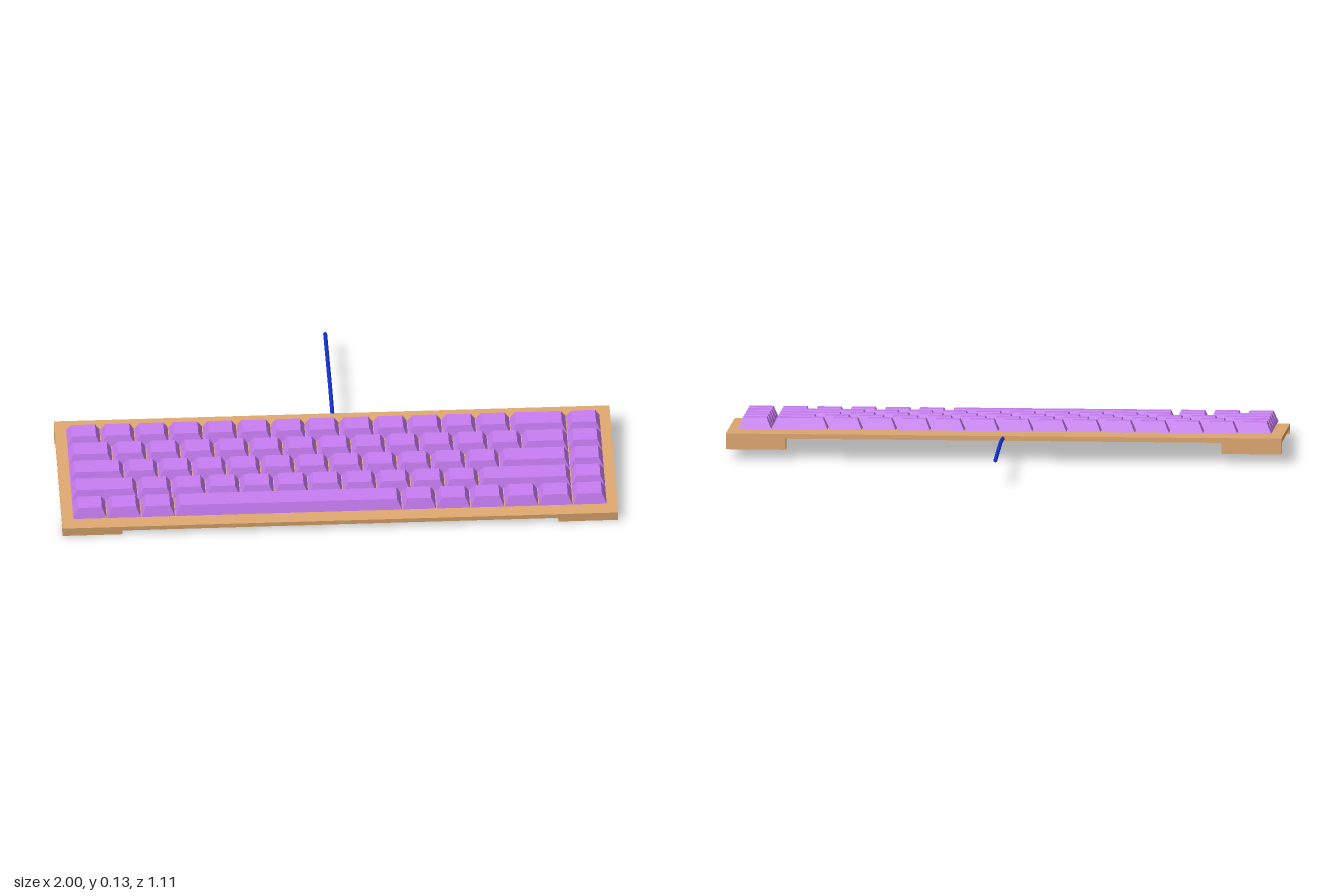
import * as THREE from 'three';

const wood = new THREE.MeshStandardMaterial({ color: 0xdea870 });
const purple = new THREE.MeshStandardMaterial({ color: 0xc67cf0 });
const blue = new THREE.MeshStandardMaterial({ color: 0x1030d0 });

const LENGTH = 0.61, THICK = 0.017;           // base plate, along the slope
const ROW = 0.1018, KEY_H = 0.039, GAP = 0.003;
const LEFT = -0.961, UNIT = 1.923 / 15.65;    // key grid

const ones = n => Array(n).fill(1);
// key widths in units, from the back row to the front row
const ROWS = [
  [...ones(13), 1.65, 1],
  [1.3, ...ones(12), 1.35, 1],
  [1.6, ...ones(11), 2.05, 1],
  [1.95, ...ones(10), 2.7, 1],
  [...ones(3), 6.65, ...ones(6)],
];

function box(name, w, h, d, x, y, z, parent) {
  const mesh = new THREE.Mesh(new THREE.BoxGeometry(w, h, d), wood);
  mesh.name = name;
  mesh.position.set(x, y, z);
  parent.add(mesh);
}

// box whose upper face is drawn in on all sides, more at the back
function keyGeometry(w, d) {
  const geo = new THREE.BoxGeometry(w, KEY_H, d);
  const p = geo.attributes.position;
  for (let i = 0; i < p.count; i++) {
    if (p.getY(i) < 0) continue;
    p.setX(i, p.getX(i) - Math.sign(p.getX(i)) * 0.017);
    p.setZ(i, p.getZ(i) > 0 ? d / 2 - 0.014 : -d / 2 + 0.02);
  }
  geo.computeVertexNormals();
  return geo;
}

export function createModel() {
  const model = new THREE.Group();
  model.name = 'keyboard';

  // sloping body; its origin is the front top edge of the plate
  const body = new THREE.Group();
  body.name = 'body';
  body.position.set(0, 0.034, 0.557);
  body.rotation.x = 0.0925;
  model.add(body);

  box('basePlate', 2, THICK, LENGTH, 0, -THICK / 2, -LENGTH / 2, body);

  // feet under the four corners, taller at the back
  for (const side of [-1, 1]) {
    const x = side * 0.8925;
    box('frontFoot', 0.215, 0.034 - THICK, 0.06, x, -(0.034 + THICK) / 2, -0.03, body);
    box('backFoot', 0.215, 0.057 - THICK, 0.06, x, -(0.057 + THICK) / 2, -LENGTH + 0.03, body);
  }

  // keys
  const keys = new THREE.Group();
  keys.name = 'keys';
  body.add(keys);
  ROWS.forEach((widths, r) => {
    let x = LEFT;
    const z = -0.037 - ROW * (4 - r + 0.5);
    for (const units of widths) {
      const w = units * UNIT;
      const key = new THREE.Mesh(keyGeometry(w - GAP, ROW - GAP), purple);
      key.name = 'key';
      key.position.set(x + w / 2, 0.0115 + KEY_H / 2, z);
      keys.add(key);
      x += w;
    }
  });

  // cable: a rising piece, then a straight level one
  const path = new THREE.CurvePath();
  const pts = [[0.081, -0.045], [0.095, -0.2], [0.095, -0.557]]
    .map(([y, z]) => new THREE.Vector3(0.003, y, z));
  path.add(new THREE.LineCurve3(pts[0], pts[1]));
  path.add(new THREE.LineCurve3(pts[1], pts[2]));
  const cable = new THREE.Mesh(new THREE.TubeGeometry(path, 20, 0.0072, 8), blue);
  cable.name = 'cable';
  model.add(cable);
  const end = new THREE.Mesh(new THREE.CircleGeometry(0.0072, 8), blue);
  end.name = 'cableEnd';
  end.position.copy(pts[2]);
  end.rotation.y = Math.PI;
  model.add(end);

  return model;
}
